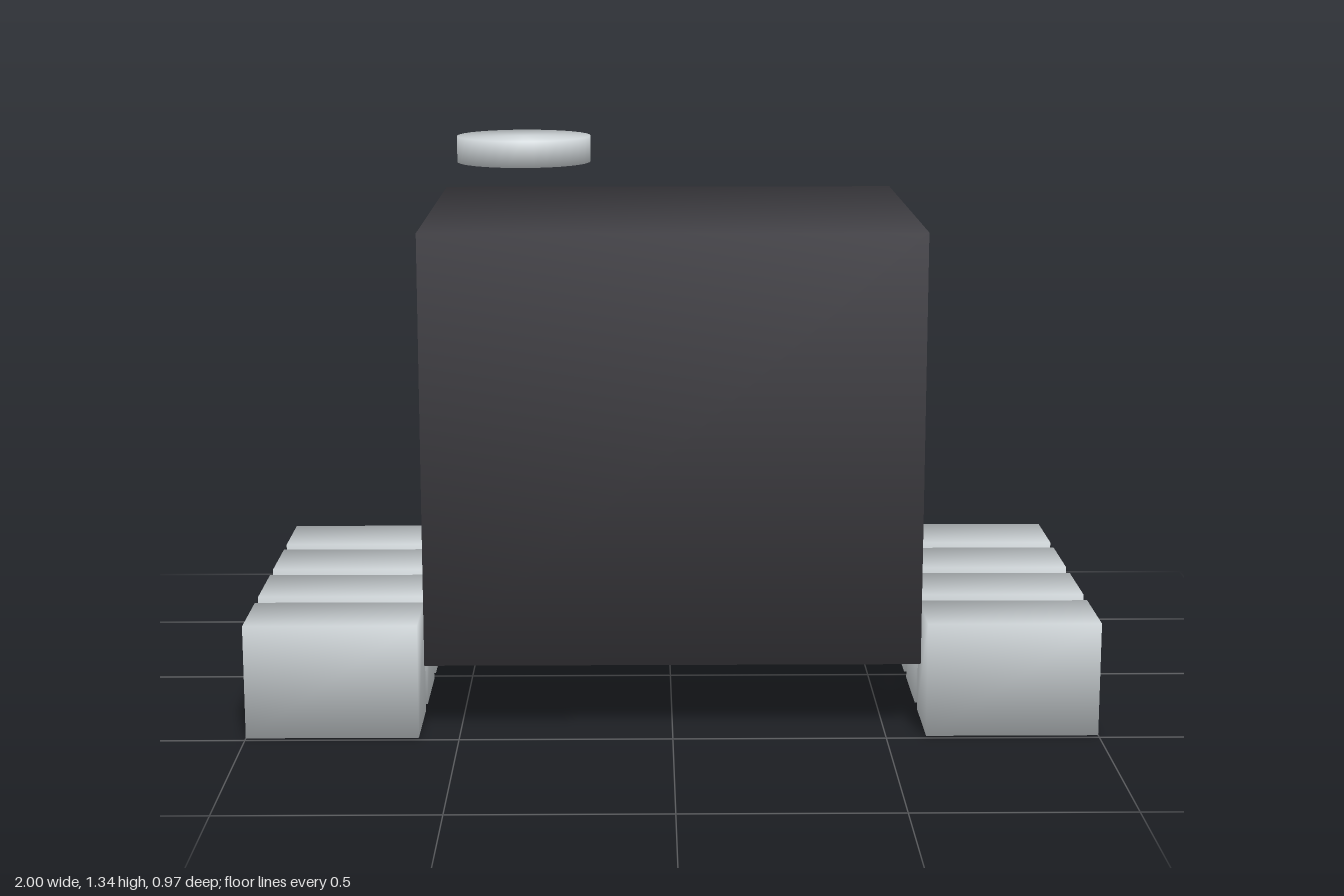
import * as THREE from 'three';

const charcoal = new THREE.MeshStandardMaterial({ color: 0x434247 });
charcoal.name = 'charcoal';
const paleGrey = new THREE.MeshStandardMaterial({ color: 0xd0d6d9 });
paleGrey.name = 'pale grey';

// Shade a solid as one smooth surface: normals run outward from its centre
function smooth(geometry, width, height, depth) {
  const p = geometry.attributes.position;
  const n = new THREE.Vector3();
  for (let i = 0; i < p.count; i++) {
    n.set(p.getX(i) / width, p.getY(i) / height, p.getZ(i) / depth).normalize();
    geometry.attributes.normal.setXYZ(i, n.x, n.y, n.z);
  }
  return geometry;
}

function smoothBox(w, h, d) {
  return smooth(new THREE.BoxGeometry(w, h, d), w, h, d);
}

export function createModel() {
  const model = new THREE.Group();
  model.name = 'model';

  function add(name, geometry, material, x, y, z) {
    const mesh = new THREE.Mesh(geometry, material);
    mesh.name = name;
    mesh.position.set(x, y, z);
    model.add(mesh);
  }

  // Large block body
  add('body', smoothBox(1.16, 1.015, 0.95), charcoal, 0, 0.68, 0);

  // Four feet along each side
  const foot = smoothBox(0.405, 0.272, 0.203);
  for (const side of [1, -1]) {
    for (let i = 0; i < 4; i++) {
      const name = (side > 0 ? 'leftFoot' : 'rightFoot') + (i + 1);
      add(name, foot, paleGrey, side * 0.7975, 0.136, 0.383 - i * 0.2553);
    }
  }

  // Disc floating above the back right corner
  const radius = 0.169, thickness = 0.065;
  const disc = smooth(
    new THREE.CylinderGeometry(radius, radius, thickness, 32),
    radius * 2, thickness, radius * 2
  );
  add('floatingDisc', disc, paleGrey, -0.368, 1.307, -0.274);

  return model;
}
